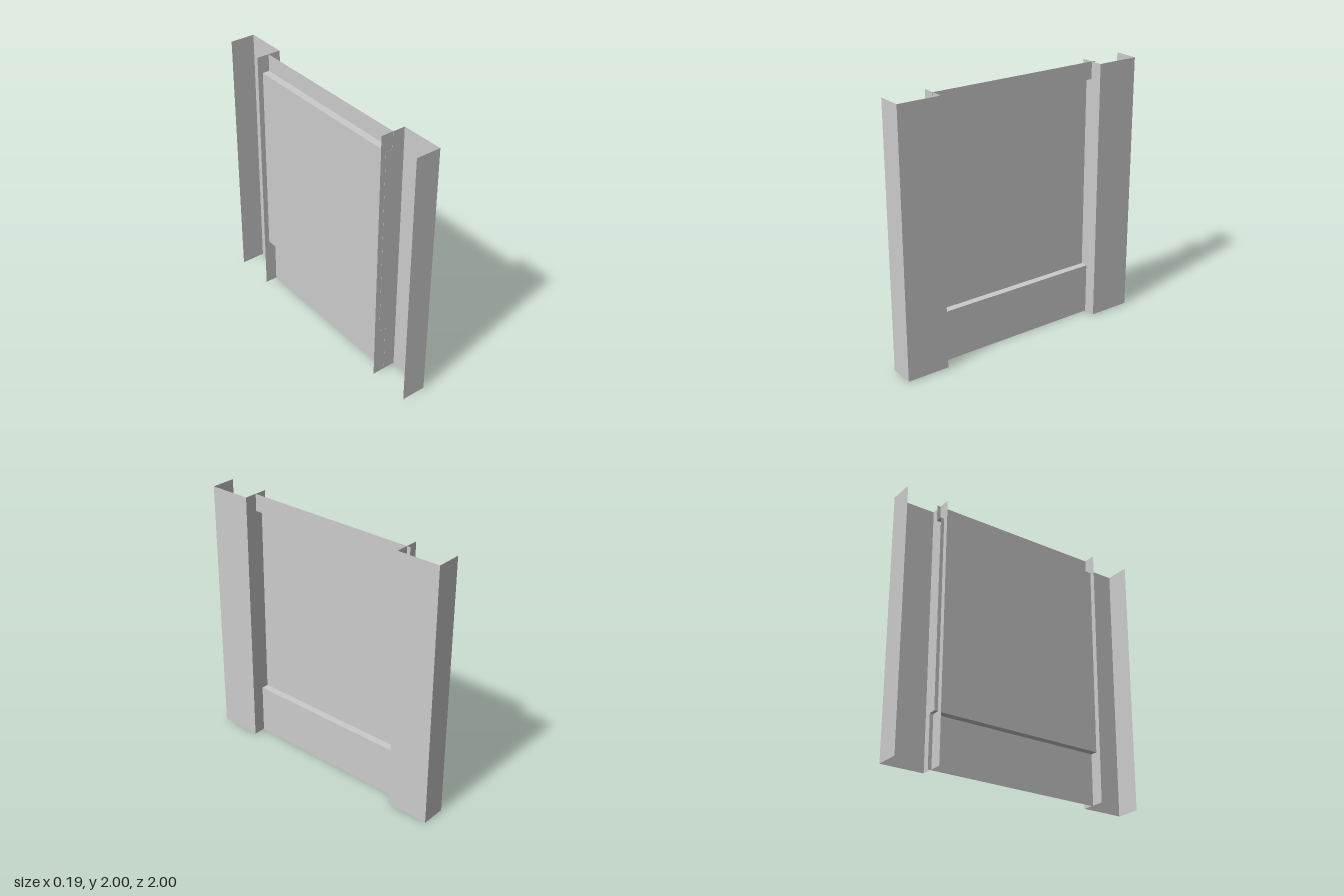
import * as THREE from 'three';

const material = new THREE.MeshStandardMaterial({ color: 0xcccccc, side: THREE.DoubleSide, flatShading: true });

// Sheet bent along an open 2D profile and swept from a to b; place(u, v, t) maps to [x, y, z]
function foldedSheet(name, profile, a, b, place) {
  const positions = [];
  for (let i = 0; i < profile.length - 1; i++) {
    const [p, q] = [profile[i], profile[i + 1]];
    const corners = [place(...p, a), place(...q, a), place(...q, b), place(...p, b)];
    for (const k of [0, 1, 2, 0, 2, 3]) positions.push(...corners[k]);
  }
  const geometry = new THREE.BufferGeometry();
  geometry.setAttribute('position', new THREE.Float32BufferAttribute(positions, 3));
  geometry.computeVertexNormals();
  const mesh = new THREE.Mesh(geometry, material);
  mesh.name = name;
  return mesh;
}

export function createModel() {
  const group = new THREE.Group();
  group.name = 'wallPanel';

  const halfDepth = 0.095, outerZ = 1, innerZ = 0.673, height = 2;

  // U-shaped posts, open towards -x; profile runs in the x-z plane
  for (const side of [1, -1]) {
    const outer = side * outerZ, inner = side * innerZ;
    const channel = side > 0
      ? [[-halfDepth, inner], [halfDepth, inner], [halfDepth, outer], [-halfDepth, outer]]
      : [[-halfDepth, outer], [halfDepth, outer], [halfDepth, inner], [-halfDepth, inner]];
    // wound so the outside of the channel is the front side
    channel.reverse();
    group.add(foldedSheet(side > 0 ? 'frontPost' : 'backPost', channel, 0.005, height,
      (x, z, y) => [x, y, z]));
  }

  // Infill sheet with a recessed middle field; profile runs in the x-y plane
  const recess = -0.055, sill = 0.39, head = 1.87;
  const infill = [[0, 0], [0, sill], [recess, sill], [recess, head], [0, head], [0, height]];
  group.add(foldedSheet('recessedInfill', infill, 0.674, -0.7, (x, y, z) => [x, y, z]));

  return group;
}
